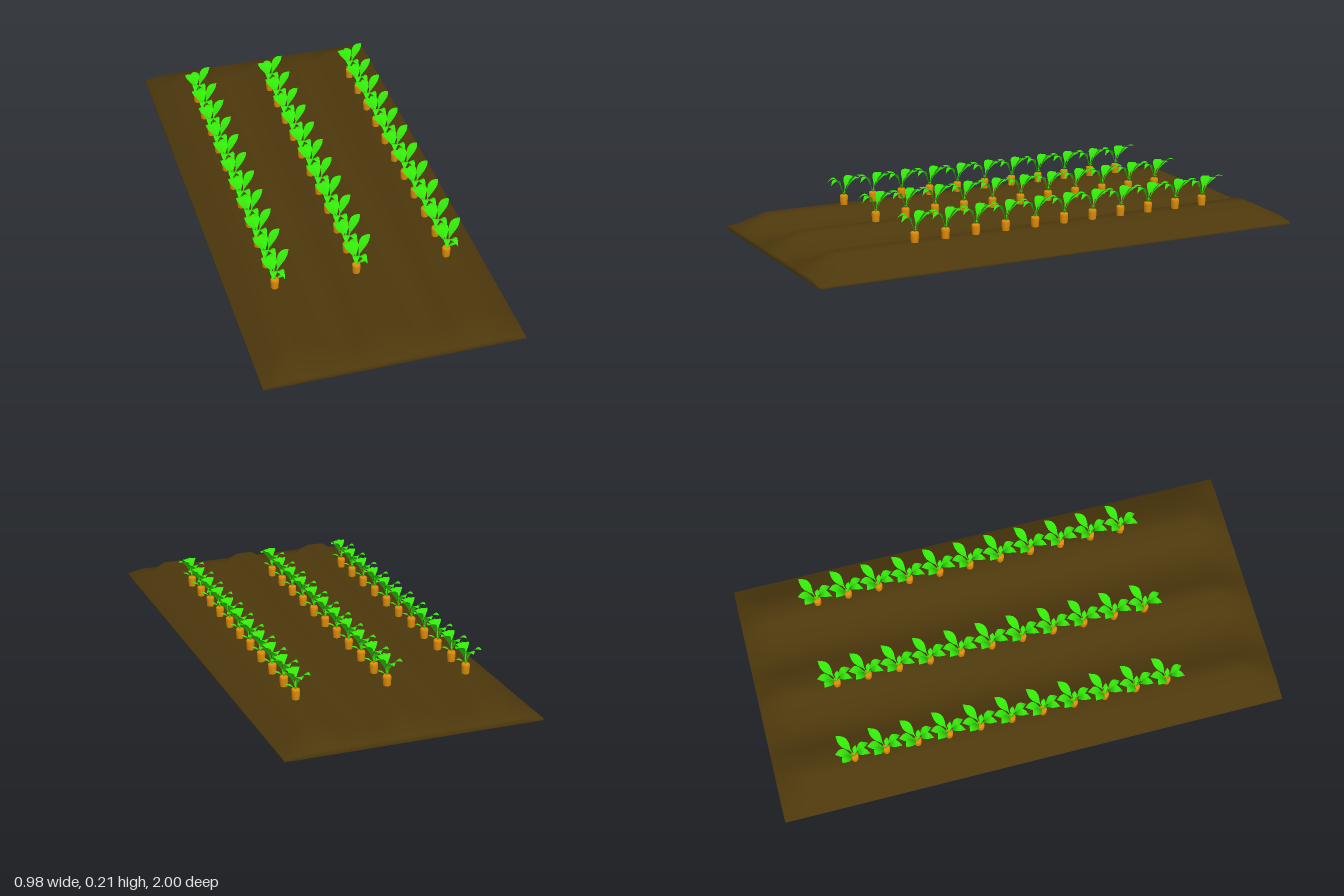
import * as THREE from 'three';

const paint = (color) => new THREE.MeshStandardMaterial({ color, side: THREE.DoubleSide });

// Surface through rows of points, one row per cross-section
function loft(rows) {
  const n = rows[0].length, index = [];
  for (let i = 0; i < rows.length - 1; i++) {
    for (let j = 0; j < n - 1; j++) {
      const a = i * n + j, b = a + n;
      index.push(a, b, a + 1, b, b + 1, a + 1);
    }
  }
  const geo = new THREE.BufferGeometry();
  geo.setAttribute('position', new THREE.Float32BufferAttribute(rows.flat(2), 3));
  geo.setIndex(index);
  geo.computeVertexNormals();
  return geo;
}

// Hollow soil bed: three ridges, sloping ends and a low rim
function soilGeometry() {
  const profile = [
    [-0.49, 0], [-0.49, 0.007], [-0.425, 0.04], [-0.36, 0.08], [-0.295, 0.08],
    [-0.23, 0.037], [-0.165, 0.03], [-0.1, 0.037], [-0.03, 0.08], [0.03, 0.08],
    [0.1, 0.037], [0.165, 0.03], [0.23, 0.037], [0.295, 0.08], [0.36, 0.08],
    [0.425, 0.04], [0.49, 0.007], [0.49, 0],
  ];
  const stations = [[-1, 0], [-1, 0.02], [-0.88, 1], [0.88, 1], [1, 0.02], [1, 0]];
  return loft(stations.map(([z, cap]) => profile.map(([x, y]) => [x, Math.min(y, cap), z])));
}

// Arching leaf: thin stalk widening into a long pointed blade
function leafGeometry(tip, lift, width) {
  const end = new THREE.Vector3(...tip);
  const mid = new THREE.Vector3(end.x * 0.42, lift, end.z * 0.42);
  const curve = new THREE.QuadraticBezierCurve3(new THREE.Vector3(0, 0.114, 0), mid, end);
  const side = new THREE.Vector3(end.z, 0, -end.x).normalize();
  const rows = [];
  for (let i = 0; i <= 12; i++) {
    const t = i / 12, p = curve.getPoint(t);
    const blade = Math.max(0, (t - 0.2) / 0.8);
    const w = Math.max(width * Math.sin(Math.PI * blade), t < 1 ? 0.0015 : 0.0003);
    rows.push([1, 0, -1].map((s) => [
      p.x + side.x * w * s, p.y + Math.abs(s) * w * 0.12, p.z + side.z * w * s,
    ]));
  }
  return loft(rows);
}

export function createModel() {
  const model = new THREE.Group();

  const soil = new THREE.Mesh(soilGeometry(), paint(0x4d380c));
  soil.name = 'soilBed';
  model.add(soil);

  // Root: rounded shoulder, tapering to a buried tip
  const rootProfile = [
    [0, 0.05], [0.007, 0.06], [0.0115, 0.07], [0.014, 0.08], [0.015, 0.095],
    [0.0158, 0.108], [0.0158, 0.115], [0.0135, 0.119], [0, 0.119],
  ].map(([r, y]) => new THREE.Vector2(r, y));
  const rootGeo = new THREE.LatheGeometry(rootProfile, 12);
  const rootMat = paint(0xe08c08);

  // Leaves: tip, height of the arch's control point, half width
  const leafGeos = [
    [[0.067, 0.204, -0.052], 0.215, 0.018],
    [[-0.038, 0.184, -0.05], 0.2, 0.018],
    [[0.003, 0.18, -0.07], 0.2, 0.017],
    [[0.022, 0.164, 0.062], 0.218, 0.014],
    [[-0.022, 0.166, 0.062], 0.222, 0.014],
    [[0.035, 0.135, 0.012], 0.136, 0.009],
  ].map((leaf) => leafGeometry(...leaf));
  const leafMat = paint(0x32e808);

  // Three rows of eleven plants along the ridges
  for (const x of [-0.33, -0.018, 0.333]) {
    for (let i = 0; i < 11; i++) {
      const plant = new THREE.Group();
      plant.name = 'plant';
      const root = new THREE.Mesh(rootGeo, rootMat);
      root.name = 'root';
      plant.add(root);
      for (const geo of leafGeos) {
        const leaf = new THREE.Mesh(geo, leafMat);
        leaf.name = 'leaf';
        plant.add(leaf);
      }
      plant.position.set(x, 0, -0.682 + i * 0.1246);
      model.add(plant);
    }
  }
  return model;
}
